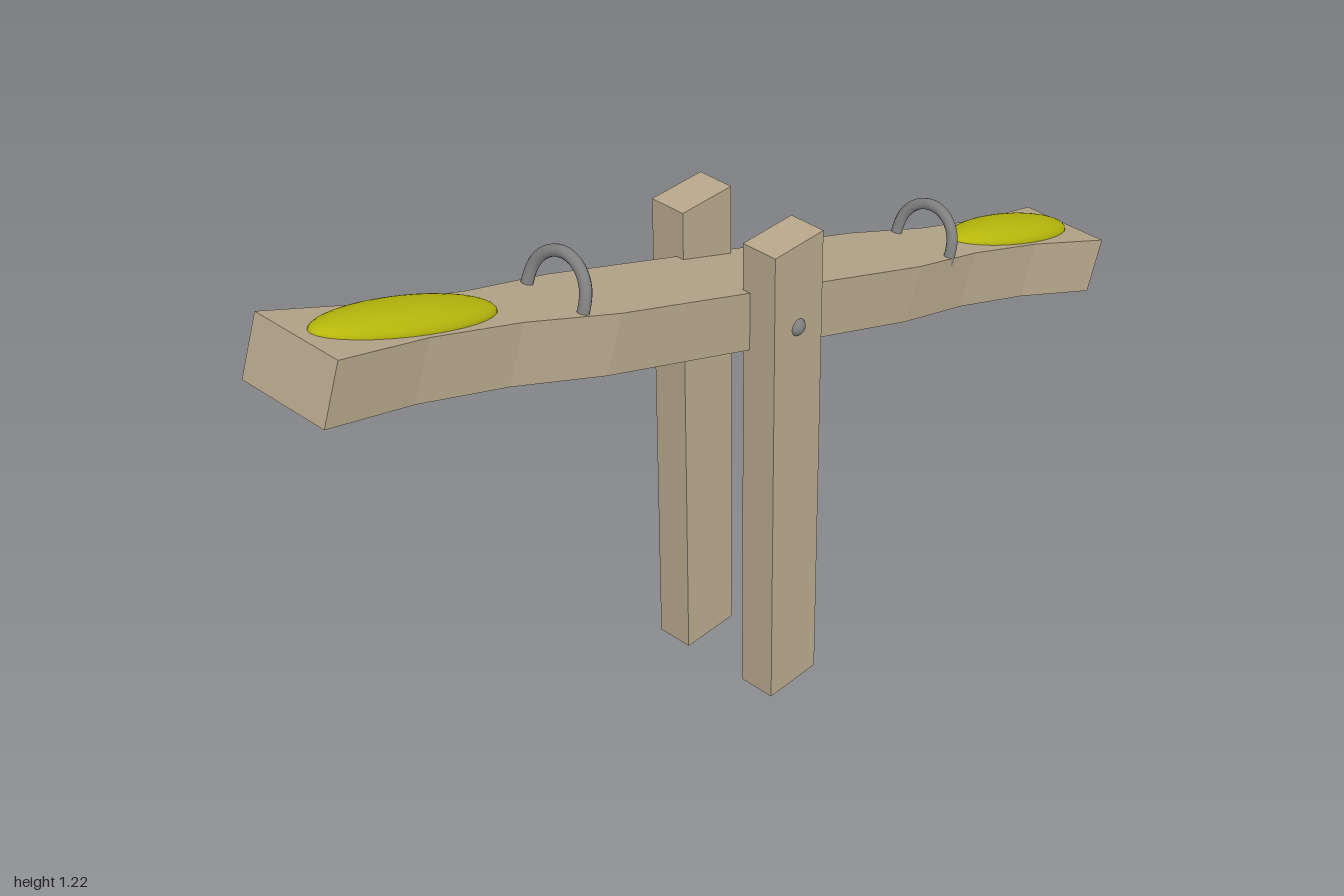
import * as THREE from 'three';

const wood = new THREE.MeshStandardMaterial({ color: 0xb8a88c });
const yellow = new THREE.MeshStandardMaterial({ color: 0xb8b80c });
const metal = new THREE.MeshStandardMaterial({ color: 0x808080 });

const TILT = 0.347;
const HALF_LENGTH = 1.042;
const THICKNESS = 0.112;
const SURFACE = THICKNESS / 2;

function add(parent, name, geometry, material, x = 0, y = 0, z = 0) {
  const mesh = new THREE.Mesh(geometry, material);
  mesh.name = name;
  mesh.position.set(x, y, z);
  parent.add(mesh);
  return mesh;
}

// Plank outline seen from above: wide middle, waists under the riders, flared ends
function plankGeometry() {
  const halfWidths = [0.095, 0.069, 0.067, 0.087, 0.087, 0.087, 0.087, 0.087, 0.067, 0.069, 0.095];
  const side = halfWidths.map((w, i) => new THREE.Vector2(w, HALF_LENGTH * (i / 5 - 1)));
  const mirrored = side.map((p) => new THREE.Vector2(-p.x, p.y)).reverse();
  const shape = new THREE.Shape([...side, ...mirrored]);
  return new THREE.ExtrudeGeometry(shape, { depth: THICKNESS, bevelEnabled: false })
    .rotateX(Math.PI / 2)
    .translate(0, SURFACE, 0);
}

// Arched grab handle with its feet sunk slightly into the plank
function handleGeometry() {
  const points = [[-0.065, -0.015], [-0.065, 0.012]];
  for (let i = 1; i < 8; i++) {
    const a = Math.PI * (1 - i / 8);
    points.push([0.065 * Math.cos(a), 0.012 + 0.067 * Math.sin(a)]);
  }
  points.push([0.065, 0.012], [0.065, -0.015]);
  const curve = new THREE.CatmullRomCurve3(points.map(([x, y]) => new THREE.Vector3(x, y, 0)));
  return new THREE.TubeGeometry(curve, 40, 0.011, 10);
}

export function createModel() {
  const model = new THREE.Group();
  model.name = 'seesaw';

  // Support posts with a pivot bolt on each outer face
  for (const s of [1, -1]) {
    const label = s > 0 ? 'left' : 'right';
    add(model, label + 'Post', new THREE.BoxGeometry(0.074, 0.99, 0.124), wood, s * 0.108, 0.495, 0);
    add(model, label + 'Bolt', new THREE.SphereGeometry(0.018, 20, 14), metal, s * 0.138, 0.82, 0);
  }

  // Tilted beam carrying the seats and handles, front end up
  const beam = new THREE.Group();
  beam.name = 'beam';
  beam.position.y = 0.813;
  beam.rotation.x = -TILT;
  model.add(beam);
  add(beam, 'plank', plankGeometry(), wood);

  const ends = [
    { label: 'front', seat: 0.821, handle: 0.487 },
    { label: 'back', seat: -0.831, handle: -0.54 },
  ];
  for (const { label, seat, handle } of ends) {
    const pad = add(beam, label + 'Seat', new THREE.SphereGeometry(1, 32, 20), yellow, 0, SURFACE, seat);
    pad.scale.set(0.06, 0.03, 0.193);
    add(beam, label + 'Handle', handleGeometry(), metal, 0, SURFACE, handle);
  }
  return model;
}
